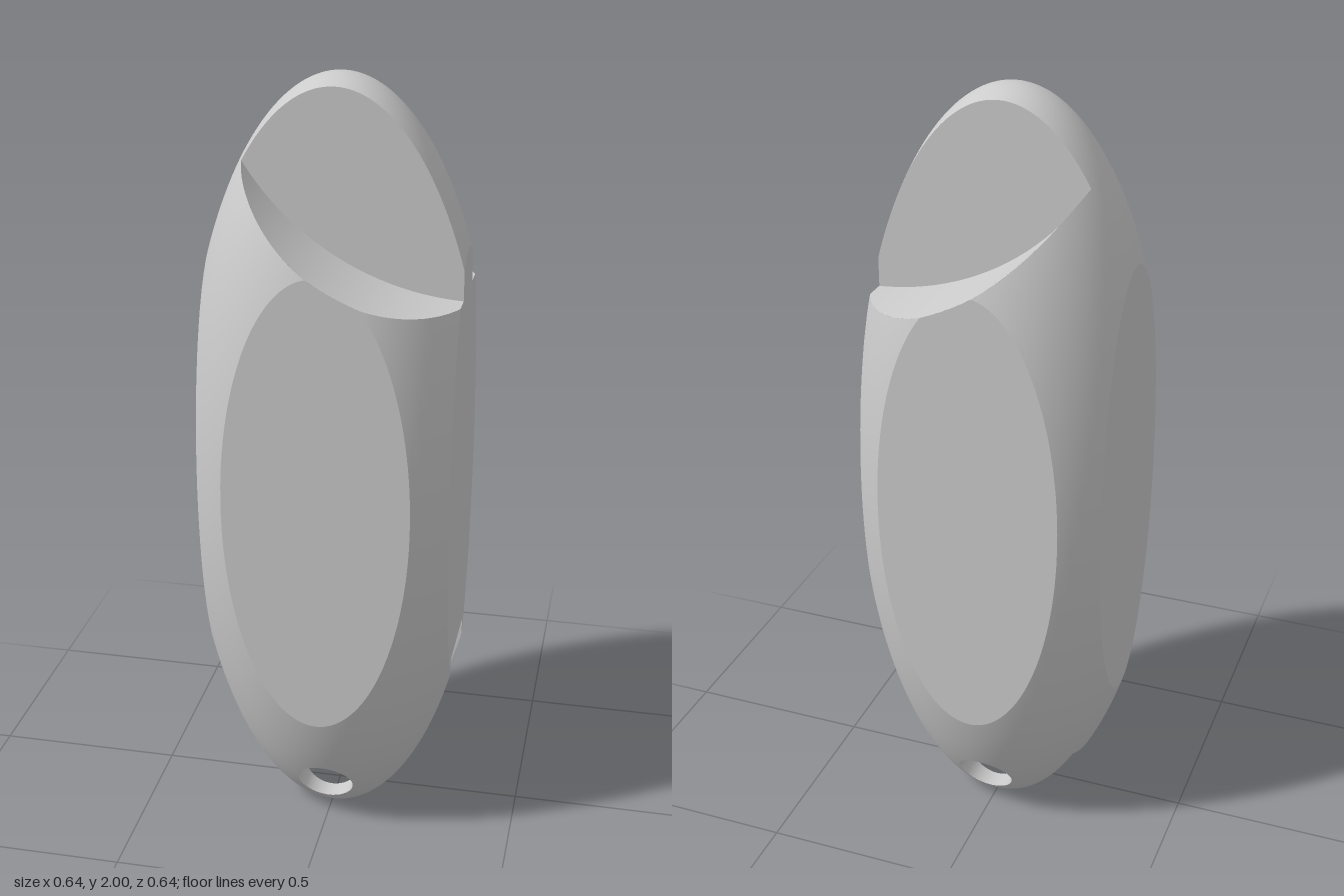
import * as THREE from 'three';

// Main dimensions
const R = 0.398, H = 1.02, CY = 0.98;            // ellipsoid radius, half height, centre height
const FLAT = 0.32;                               // distance of the four flat sides
const TONGUE = 0.08, SLOT = 0.11;                // half thickness of tongue, half width of slot
const NOTCH_C = { x: 0.35, y: 2.155, r: 0.68 };  // round shoulder cut at the top
const SLOT_C = { x: 0.35, y: -0.19, r: 0.68 };   // round end of the slot at the bottom
const HOLE_C = { x: 0, y: 0.125, r: 0.075 };     // pin hole

// Fields: positive means keep
const V = (x, y, z) => new THREE.Vector3(x, y, z);
const neg = f => p => -f(p);
const inBody = p => 1 - (p.x * p.x + p.z * p.z) / (R * R) - ((p.y - CY) / H) ** 2;
const inX = p => FLAT - Math.abs(p.x);
const inZ = p => FLAT - Math.abs(p.z);
const offRound = c => p => Math.hypot(p.x - c.x, p.y - c.y) - c.r;
const offNotch = offRound(NOTCH_C), offSlot = offRound(SLOT_C), offHole = offRound(HOLE_C);
const inTongue = p => TONGUE - Math.abs(p.z);
const offGap = p => Math.abs(p.z) - SLOT;

// Keep the part of a convex polygon where f > 0
function clip(poly, f) {
  const out = [];
  poly.forEach((a, i) => {
    const b = poly[(i + 1) % poly.length];
    const inA = f(a) > 0, inB = f(b) > 0;
    if (inA) out.push(a);
    if (inA !== inB) {
      let lo = 0, hi = 1;
      for (let k = 0; k < 16; k++) {
        const mid = (lo + hi) / 2;
        if ((f(a.clone().lerp(b, mid)) > 0) === inA) lo = mid; else hi = mid;
      }
      out.push(a.clone().lerp(b, (lo + hi) / 2));
    }
  });
  return out;
}

// A rule is one field, or a pair of which at least one must be positive
function applyRule(polys, rule) {
  const cut = (list, f) => list.map(p => clip(p, f)).filter(p => p.length > 2);
  if (!Array.isArray(rule)) return cut(polys, rule);
  const [a, b] = rule;
  return [...cut(polys, a), ...cut(cut(polys, neg(a)), b)];
}

// Trimmed surface: grid of point(u, v), cut by the rules, with exact normals
function surface(name, material, nu, nv, point, normal, rules) {
  const pos = [], nor = [];
  const ab = V(), ac = V();
  for (let i = 0; i < nu; i++) for (let j = 0; j < nv; j++) {
    const q = [[i, j], [i + 1, j], [i + 1, j + 1], [i, j + 1]].map(([s, t]) => point(s / nu, t / nv));
    let polys = [[q[0], q[1], q[2]], [q[0], q[2], q[3]]];
    for (const rule of rules) polys = applyRule(polys, rule);
    for (const p of polys) for (let k = 1; k < p.length - 1; k++) {
      let tri = [p[0], p[k], p[k + 1]];
      ab.subVectors(tri[1], tri[0]);
      ac.subVectors(tri[2], tri[0]);
      ab.cross(ac);
      if (ab.length() < 1e-10) continue;
      if (ab.dot(normal(tri[0])) < 0) tri = [tri[0], tri[2], tri[1]];
      for (const v of tri) {
        pos.push(v.x, v.y, v.z);
        nor.push(...normal(v).normalize().toArray());
      }
    }
  }
  const g = new THREE.BufferGeometry();
  g.setAttribute('position', new THREE.Float32BufferAttribute(pos, 3));
  g.setAttribute('normal', new THREE.Float32BufferAttribute(nor, 3));
  const mesh = new THREE.Mesh(g, material);
  mesh.name = name;
  return mesh;
}

export function createModel() {
  const group = new THREE.Group();
  group.name = 'linkBody';
  const mat = new THREE.MeshStandardMaterial({ color: 0xcccccc });
  const add = (...args) => group.add(surface(args[0], mat, ...args.slice(1)));
  const mix = THREE.MathUtils.lerp;

  // Cuts shared by the outer faces
  const cuts = [[offNotch, inTongue], [offSlot, offGap], offHole];

  // Rounded shell
  add('shell', 96, 96, (u, v) => {
    const a = u * Math.PI * 2, b = v * Math.PI;
    return V(R * Math.sin(b) * Math.cos(a), CY - H * Math.cos(b), R * Math.sin(b) * Math.sin(a));
  }, p => V(p.x / (R * R), (p.y - CY) / (H * H), p.z / (R * R)), [inX, inZ, ...cuts]);

  for (const s of [-1, 1]) {
    const side = s > 0 ? 'Left' : 'Right', end = s > 0 ? 'Front' : 'Back';

    // Flat oval sides
    add('flat' + side, 32, 48, (u, v) => V(s * FLAT, mix(0.3, 1.7, u), mix(-0.3, 0.3, v)),
      () => V(s, 0, 0), [inBody, ...cuts]);
    add('flat' + end, 32, 48, (u, v) => V(mix(-0.3, 0.3, v), mix(0.3, 1.7, u), s * FLAT),
      () => V(0, 0, s), [inBody, ...cuts]);

    // Flat faces of the top tongue
    add('tongue' + end, 40, 40, (u, v) => V(mix(-0.33, 0.33, u), mix(1.4, 2.02, v), s * TONGUE),
      () => V(0, 0, s), [inBody, inX, neg(offNotch)]);

    // Inner faces of the bottom fork
    add('forkCheek' + end, 48, 48, (u, v) => V(mix(-0.33, 0.33, u), mix(-0.05, 0.55, v), s * SLOT),
      () => V(0, 0, -s), [inBody, inX, neg(offSlot), offHole]);
  }

  // Curved surfaces of the shoulder, slot end and pin hole
  const round = (name, c, a0, a1, n, rules) => add(name, n, 32,
    (u, v) => {
      const a = mix(a0, a1, u);
      return V(c.x + c.r * Math.cos(a), c.y + c.r * Math.sin(a), mix(-0.33, 0.33, v));
    },
    p => V(c.x - p.x, c.y - p.y, 0), rules);
  round('shoulder', NOTCH_C, Math.PI, Math.PI * 1.55, 40, [inBody, inX, inZ, neg(inTongue)]);
  round('slotEnd', SLOT_C, Math.PI * 0.45, Math.PI, 40, [inBody, inX, neg(offGap)]);
  round('pinHole', HOLE_C, 0, Math.PI * 2, 40, [inBody, offGap]);

  return group;
}
